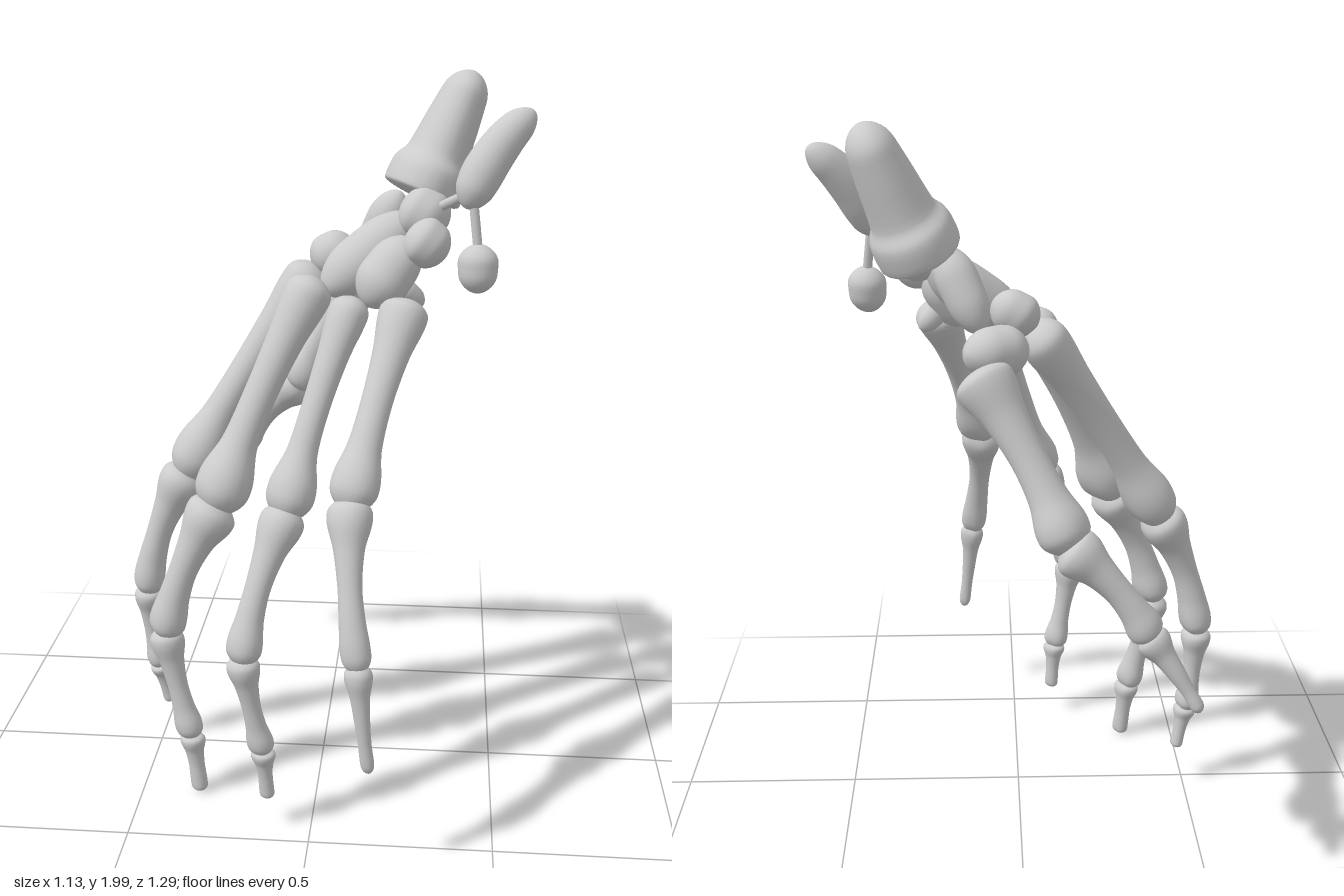
import * as THREE from 'three';

const material = new THREE.MeshStandardMaterial({ color: 0xcccccc });
const V = (a) => new THREE.Vector3(a[0], a[1], a[2]);

// Closed smooth bone between points a and b. The profile lists [share of length, radius];
// dorsal is the depth direction, towards which the middle is bowed.
// flat = depth over width, cap = share rounded off at the ends, groove = hollow on the palm side of both ends.
function bone(name, a, b, profile, dorsal, { bow = 0, flat = 0.92, cap = 0.12, groove = 0, rings = 44 } = {}) {
  const sides = 24, back = V(dorsal).normalize();
  const path = new THREE.CatmullRomCurve3(profile.map(([t]) =>
    V(a).lerp(V(b), t).addScaledVector(back, bow * 4 * t * (1 - t))));
  const size = new THREE.CatmullRomCurve3(profile.map(([t, r]) => new THREE.Vector3(r, t, 0)), false, 'catmullrom');
  const round = (t) => Math.sqrt(Math.max(0, 1 - (1 - Math.min(t / cap, 1)) ** 2));
  const positions = [], index = [];
  for (let i = 0; i <= rings; i++) {
    const t = (1 - Math.cos(Math.PI * i / rings)) / 2;
    const p = path.getPoint(t), T = path.getTangent(t);
    const D = back.clone().addScaledVector(T, -back.dot(T)).normalize();
    const L = D.clone().cross(T);
    const r = size.getPoint(t).x * Math.max(round(t) * round(1 - t), 0.001);
    const hollow = groove * Math.abs(2 * t - 1) ** 3;
    for (let j = 0; j < sides; j++) {
      const angle = j / sides * Math.PI * 2, s = Math.sin(angle);
      const cut = s < 0 ? 1 - hollow * s ** 4 : 1 - hollow * 0.4 * s ** 6;
      const v = p.clone().addScaledVector(L, r * Math.cos(angle)).addScaledVector(D, r * flat * s * cut);
      positions.push(v.x, v.y, v.z);
      if (i < rings) {
        const m = i * sides + j, n = i * sides + (j + 1) % sides;
        index.push(m, n, m + sides, n, n + sides, m + sides);
      }
    }
  }
  const geometry = new THREE.BufferGeometry();
  geometry.setAttribute('position', new THREE.Float32BufferAttribute(positions, 3));
  geometry.setIndex(index);
  geometry.computeVertexNormals();
  const mesh = new THREE.Mesh(geometry, material);
  mesh.name = name;
  return mesh;
}

// Joints from wrist to tip: [x, y, z, radius]
const digits = {
  indexFinger: [[-0.03, 1.46, -0.165, 0.076], [-0.4, 0.87, -0.03, 0.078], [-0.525, 0.5, -0.015, 0.05],
    [-0.5, 0.25, -0.02, 0.037], [-0.475, 0.12, -0.03, 0.02]],
  middleFinger: [[-0.02, 1.46, -0.005, 0.07], [-0.28, 0.86, 0.2, 0.08], [-0.425, 0.49, 0.24, 0.055],
    [-0.355, 0.18, 0.265, 0.041], [-0.335, 0.003, 0.27, 0.025]],
  ringFinger: [[0.09, 1.43, 0.09, 0.056], [-0.075, 0.89, 0.31, 0.066], [-0.18, 0.52, 0.447, 0.049],
    [-0.13, 0.24, 0.432, 0.037], [-0.12, 0.09, 0.425, 0.021]],
  littleFinger: [[0.235, 1.44, 0.16, 0.066], [0.105, 0.97, 0.44, 0.063], [0.137, 0.59, 0.598, 0.039],
    [0.168, 0.3, 0.615, 0.018]],
  thumb: [[0.115, 1.4, -0.385, 0.082], [-0.115, 0.99, -0.555, 0.071], [-0.315, 0.76, -0.585, 0.049],
    [-0.445, 0.57, -0.635, 0.019]],
};

// Wrist bones: the two ends and the radius
const wristBones = {
  trapezium: [[-0.01, 1.42, -0.25], [0.14, 1.43, -0.35], 0.074],
  trapezoid: [[-0.045, 1.46, -0.17], [0.07, 1.53, -0.16], 0.064],
  capitate: [[0, 1.42, 0], [0.24, 1.62, -0.08], 0.077],
  hamate: [[0.12, 1.41, 0.1], [0.24, 1.58, 0.04], 0.076],
  hamateHook: [[0.2, 1.47, 0.08], [0.27, 1.4, 0.05], 0.032],
  scaphoid: [[0.2, 1.67, -0.16], [0.1, 1.46, -0.24], 0.06],
  lunate: [[0.21, 1.66, -0.07], [0.33, 1.6, -0.03], 0.074],
  triquetrum: [[0.23, 1.61, 0.08], [0.33, 1.54, 0.08], 0.066],
  pisiform: [[0.415, 1.575, 0.07], [0.415, 1.445, 0.085], 0.055],
};

export function createModel() {
  const hand = new THREE.Group();
  hand.name = 'handSkeleton';

  // Fingers and thumb: flared base, slim shaft and knuckled head, bowed away from the palm;
  // neighbours overlap a little at the joints and the last bone tapers to a tip
  for (const [name, joints] of Object.entries(digits)) {
    const digit = new THREE.Group();
    digit.name = name;
    const [wristEnd, knuckle] = joints;
    const dorsal = [knuckle[0] - wristEnd[0], 0.12, knuckle[2] - wristEnd[2]];
    for (let i = 0; i < joints.length - 1; i++) {
      const isTip = i === joints.length - 2;
      const base = joints[i][3] * (i ? 0.95 : 1), head = joints[i + 1][3];
      const shaft = (base + head) * (isTip ? 0.38 : 0.325);
      const profile = [[i ? -0.05 : 0, base * 0.95], [0.1, base], [0.27, (base + shaft * 2) / 3], [0.5, shaft],
        [0.72, isTip ? head : shaft * 1.1], [0.88, head * 1.03], [isTip ? 1 : 1.03, head * 0.93]];
      digit.add(bone(name + (i ? 'Phalanx' + i : 'Metacarpal'), joints[i], joints[i + 1], profile, dorsal,
        { bow: [0.016, 0.024, 0.006, 0][i], groove: 0.28 }));
    }
    hand.add(digit);
  }

  // Wrist pebbles
  const wrist = new THREE.Group();
  wrist.name = 'wrist';
  for (const [name, [a, b, r]] of Object.entries(wristBones)) {
    const profile = [[0, r * 0.9], [0.33, r], [0.67, r * 0.95], [1, r * 0.85]];
    wrist.add(bone(name, a, b, profile, [-0.5, 0.5, 0.7], { cap: 0.38, groove: 0.12, rings: 24 }));
  }

  // Thin cords from the ulna to the wrist
  for (const target of ['pisiform', 'lunate']) {
    const [a, b] = wristBones[target].map(V);
    const end = a.lerp(b, target === 'lunate' ? 0.5 : 0.2);
    const curve = new THREE.LineCurve3(new THREE.Vector3(0.395, 1.71, 0.055), end);
    const cord = new THREE.Mesh(new THREE.TubeGeometry(curve, 4, 0.013, 10), material);
    cord.name = target + 'Ligament';
    wrist.add(cord);
  }
  hand.add(wrist);

  // Cut ends of the forearm bones
  hand.add(bone('radius', [0.25, 1.65, -0.19], [0.395, 1.99, -0.26],
    [[0, 0.16], [0.1, 0.166], [0.23, 0.16], [0.33, 0.13], [0.65, 0.108], [1, 0.082]],
    [-1, 0.4, 0.1], { flat: 0.68, cap: 0.1 }));
  hand.add(bone('ulna', [0.55, 1.91, -0.025], [0.38, 1.665, 0.06],
    [[0, 0.037], [0.3, 0.05], [0.55, 0.056], [0.75, 0.056], [1, 0.042]],
    [-0.7, 0.7, 0], { bow: 0.022, flat: 1, cap: 0.17 }));

  return hand;
}
